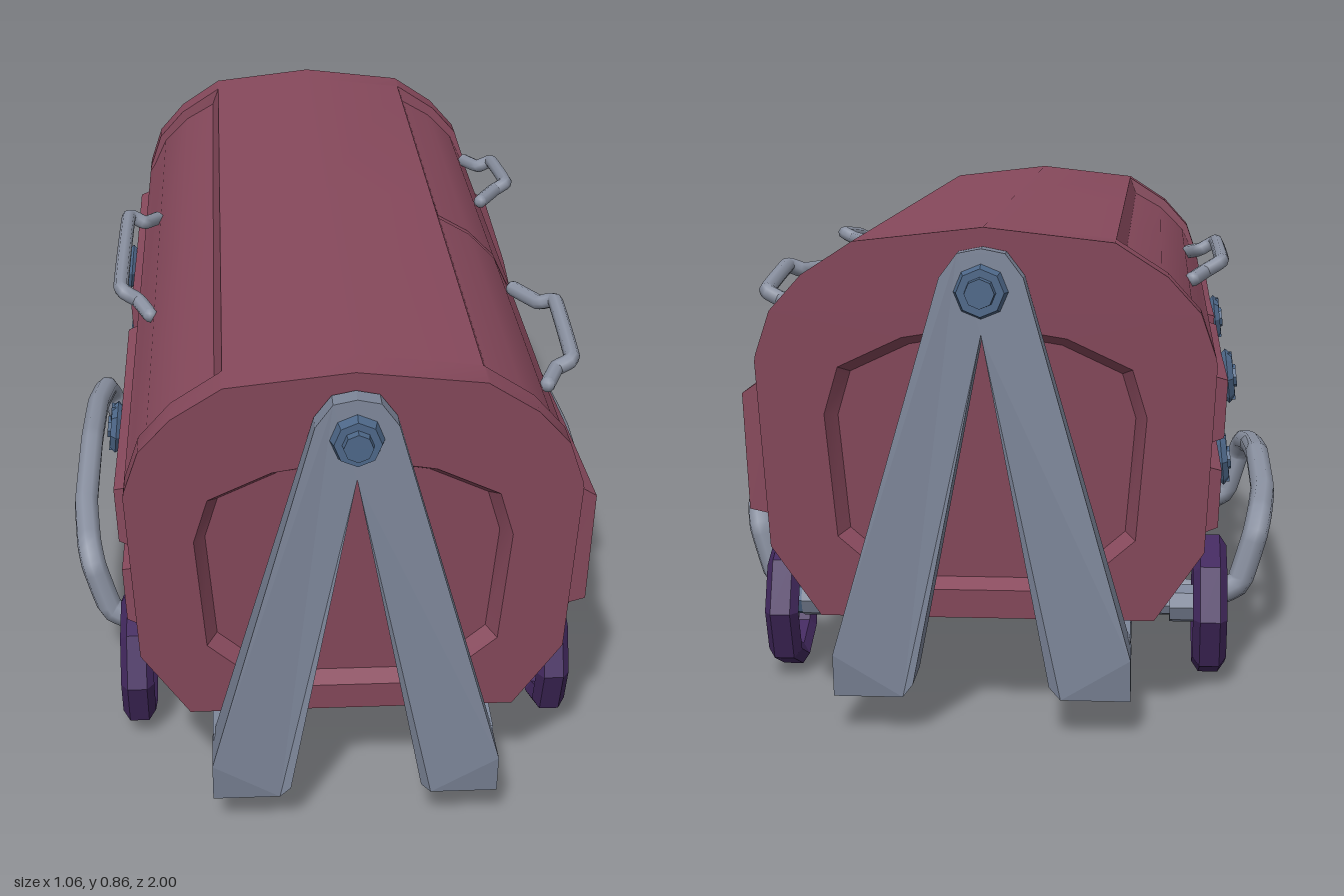
import * as THREE from 'three';
import { toCreasedNormals } from 'three/addons/utils/BufferGeometryUtils.js';

const paint = (color) => new THREE.MeshStandardMaterial({ color, flatShading: true });
const red = new THREE.MeshStandardMaterial({ color: 0x87495c, side: THREE.DoubleSide });
const steel = paint(0x7c8598);
const pipe = new THREE.MeshStandardMaterial({ color: 0x8c93a3 });
const blue = paint(0x4d6788);
const purple = paint(0x43295f);

// Half of the barrel outline, bottom to top: x, y and how far the lid sinks (dx, dy)
const HALF = [
  [0.29, 0.175, 0, 0], [0.375, 0.3, 0, 0], [0.392, 0.628, 0, 0],
  [0.39, 0.64, -0.009, 0.004], [0.364, 0.716, -0.012, -0.01], [0.308, 0.778, -0.011, -0.017],
  [0.226, 0.831, 0.008, -0.034], [0.22, 0.835, 0, 0],
];
const INSET = [[0.15, 0.226], [0.257, 0.32], [0.275, 0.537], [0.25, 0.62], [0.14, 0.672], [0, 0.695]];

const endZ = (y) => 0.87 + (y - 0.175) * 0.08;
const sideX = (y) => 0.375 + (y - 0.3) * 0.052;

// Closed outline, counter-clockwise, with the lid sunk by tR on the right and tL on the left
function outline(tR = 0, tL = 0) {
  const right = HALF.map(([x, y, dx, dy]) => [x + dx * tR, y + dy * tR]);
  const left = HALF.map(([x, y, dx, dy]) => [-x - dx * tL, y + dy * tL]).reverse();
  return [...right, [0, 0.86], ...left];
}

function insetOutline(s) {
  const half = INSET.map(([x, y]) => [x * s, 0.46 + (y - 0.46) * s]);
  return [...half, ...half.slice(0, -1).reverse().map(([x, y]) => [-x, y])];
}

// Skin between rings of equal point count; z may depend on y
function loft(rings) {
  const pos = [], idx = [], n = rings[0].pts.length;
  rings.forEach(({ pts, z }) => pts.forEach(([x, y]) => pos.push(x, y, z(y))));
  for (let i = 0; i < rings.length - 1; i++) {
    for (let j = 0; j < n; j++) {
      const a = i * n + j, b = i * n + (j + 1) % n;
      idx.push(a, b, b + n, a, b + n, a + n);
    }
  }
  const g = new THREE.BufferGeometry();
  g.setAttribute('position', new THREE.Float32BufferAttribute(pos, 3));
  g.setIndex(idx);
  return toCreasedNormals(g, 0.5);
}

// Move every vertex by a rule and rebuild normals
function warp(g, rule) {
  const p = g.attributes.position, v = new THREE.Vector3();
  for (let i = 0; i < p.count; i++) {
    rule(v.fromBufferAttribute(p, i));
    p.setXYZ(i, v.x, v.y, v.z);
  }
  g.computeVertexNormals();
  return g;
}

const toShape = (pts) => new THREE.Shape(pts.map(([x, y]) => new THREE.Vector2(x, y)));

function add(parent, name, geo, mat, pos = [0, 0, 0]) {
  const m = new THREE.Mesh(geo, mat);
  m.name = name;
  m.position.set(...pos);
  parent.add(m);
  return m;
}

// Cylinder lying along x
const rodX = (r, len, sides = 8) => new THREE.CylinderGeometry(r, r, len, sides).rotateZ(Math.PI / 2);

// Bent pipe with rounded ends
function bentPipe(parent, name, pts, r) {
  const group = new THREE.Group();
  group.name = name;
  const v = pts.map((p) => new THREE.Vector3(...p));
  const curve = new THREE.CatmullRomCurve3(v, false, 'catmullrom', 0.15);
  add(group, name + 'Pipe', new THREE.TubeGeometry(curve, pts.length * 8, r, 8), pipe);
  for (const p of [pts[0], pts[pts.length - 1]]) add(group, name + 'End', new THREE.SphereGeometry(r, 8, 6), pipe, p);
  parent.add(group);
}

// Raised side panel whose rim slopes in by bevel; out(z) gives the face's x
function sidePanel(z0, z1, y0, y1, bevelTop, bevel, out) {
  const g = new THREE.BoxGeometry(1, 1, 1, 1, 1, 2).toNonIndexed();
  return warp(g, (v) => {
    const face = v.x > 0, b = face ? bevel : 0;
    const mid = Math.abs(v.z) < 0.1;
    v.z = THREE.MathUtils.lerp(z0 + b, z1 - b, v.z + 0.5);
    v.y = v.y > 0 ? y1 - (face ? bevelTop + (mid ? bevelTop * 0.5 : 0) : 0) : y0 + b;
    v.x = face ? out(v.z, v.y) : sideX(v.y) - 0.02;
  });
}

function buildBody(parent) {
  const at = (c) => () => c;
  const floor = (s) => (y) => s * (endZ(y));
  add(parent, 'barrel', loft([
    { pts: outline(), z: floor(-1) }, { pts: outline(), z: at(-0.85) },
    { pts: outline(1, 1), z: at(-0.849) }, { pts: outline(1, 1), z: at(-0.009) },
    { pts: outline(1.9, 1), z: at(-0.008) }, { pts: outline(1.9, 1), z: at(0.008) },
    { pts: outline(1, 1), z: at(0.009) }, { pts: outline(1, 1), z: at(0.849) },
    { pts: outline(), z: at(0.85) }, { pts: outline(), z: floor(1) },
  ]), red);
  // End walls with a sunken, sloped-edge panel
  for (const turn of [0, Math.PI]) {
    const end = new THREE.Group();
    end.name = turn ? 'backWall' : 'frontWall';
    end.rotation.y = turn;
    const sink = (d) => (v) => { v.z = endZ(v.y) - d; };
    const rim = toShape(outline());
    rim.holes.push(toShape(insetOutline(1)));
    add(end, 'wallRim', warp(new THREE.ShapeGeometry(rim), sink(0)), red);
    add(end, 'wallPanel', warp(new THREE.ShapeGeometry(toShape(insetOutline(0.93))), sink(0.03)), red);
    add(end, 'wallStep', loft([
      { pts: insetOutline(0.93), z: (y) => endZ(y) - 0.03 }, { pts: insetOutline(1), z: endZ },
    ]), red);
    parent.add(end);
  }
}

function buildSides(parent) {
  // Two bulging doors on one side
  for (const s of [1, -1]) {
    const out = (z, y) => Math.min(0.437, 0.408 + Math.abs(z) * 0.07) - (y < 0.4 ? 0.01 : 0);
    const [a, b] = s > 0 ? [0.05, 0.81] : [-0.81, -0.05];
    add(parent, 'door', sidePanel(a, b, 0.335, 0.6, 0.045, 0.012, out), red);
    // Handle rising towards the middle
    const c = s > 0 ? 0.43 : -0.49;
    bentPipe(parent, 'doorHandle', [
      [0.37, 0.695, c + s * 0.195], [0.395, 0.7, c + s * 0.135], [0.425, 0.715, c + s * 0.125],
      [0.428, 0.738, c - s * 0.1], [0.4, 0.727, c - s * 0.12], [0.36, 0.727, c - s * 0.195],
    ], 0.015);
  }
  // Four drawers with round pulls on the other side
  for (const s of [1, -1]) {
    for (const [y0, y1] of [[0.31, 0.44], [0.47, 0.6]]) {
      const g = sidePanel(-0.375, 0.375, y0, y1, 0.014, 0.014, (z, y) => sideX(y) + 0.024);
      const drawer = add(parent, 'drawer', g, red, [0, 0, s * 0.43]);
      drawer.geometry.rotateY(Math.PI);
      const pull = new THREE.Group();
      pull.name = 'drawerPull';
      const y = (y0 + y1) / 2;
      pull.position.set(-sideX(y) - 0.03, y, s * 0.43);
      pull.rotation.z = -0.1;
      add(pull, 'pullStem', rodX(0.022, 0.05), blue);
      add(pull, 'pullRing', new THREE.TorusGeometry(0.042, 0.011, 4, 8).rotateY(Math.PI / 2), blue, [-0.008, 0, 0]);
      add(pull, 'pullBar', new THREE.BoxGeometry(0.016, 0.09, 0.022), blue, [-0.012, 0, 0]);
      parent.add(pull);
    }
  }
  bentPipe(parent, 'lidHandle', [
    [-0.36, 0.705, -0.28], [-0.385, 0.715, -0.225], [-0.418, 0.735, -0.21],
    [-0.418, 0.735, 0.21], [-0.385, 0.715, 0.225], [-0.36, 0.705, 0.28],
  ], 0.015);
}

function buildStand(parent) {
  // A-shaped end supports leaning outwards at the foot
  const half = [[0.115, 0.092], [0.134, 0.065], [0.252, 0.065], [0.252, 0.14], [0.07, 0.78], [0.04, 0.82]];
  const legs = toShape([[0, 0.685], ...half, [0, 0.828], ...half.map(([x, y]) => [-x, y]).reverse()]);
  for (const turn of [0, Math.PI]) {
    const end = new THREE.Group();
    end.name = turn ? 'backSupport' : 'frontSupport';
    end.rotation.y = turn;
    const g = new THREE.ExtrudeGeometry(legs, { depth: 1, bevelEnabled: false });
    add(end, 'supportLegs', warp(g, (v) => {
      const t = (v.y - 0.065) / 0.76;
      v.z = v.z > 0.5 ? 0.995 - 0.032 * t - (v.y < 0.07 ? 0.015 : 0) : 0.895 + 0.03 * t;
    }), steel);
    add(end, 'pivotWasher', new THREE.CylinderGeometry(0.04, 0.046, 0.02, 8).rotateX(Math.PI / 2), blue, [0, 0.757, 0.975]);
    add(end, 'pivotBolt', new THREE.CylinderGeometry(0.025, 0.028, 0.03, 8).rotateX(Math.PI / 2), blue, [0, 0.757, 0.985]);
    parent.add(end);
  }
  // Arched base rails
  const rail = new THREE.Shape();
  rail.moveTo(-0.96, 0.067);
  rail.quadraticCurveTo(0, 0.235, 0.96, 0.067);
  rail.lineTo(0.92, 0.16);
  rail.quadraticCurveTo(0, 0.235, -0.92, 0.16);
  const railGeo = new THREE.ExtrudeGeometry(rail, { depth: 0.115, bevelEnabled: false, curveSegments: 8 }).rotateY(-Math.PI / 2);
  for (const x of [0.25, -0.135]) add(parent, 'baseRail', railGeo, steel, [x, 0, 0]);
}

function buildRunningGear(parent) {
  const profile = [[0.092, -0.02], [0.112, -0.031], [0.132, -0.018], [0.132, 0.018], [0.112, 0.031], [0.092, 0.02], [0.092, -0.02]];
  const tyre = new THREE.LatheGeometry(profile.map(([r, y]) => new THREE.Vector2(r, y)), 8).rotateZ(-Math.PI / 2);
  for (const s of [1, -1]) {
    for (const z of [0.595, -0.595]) {
      const wheel = new THREE.Group();
      wheel.name = 'wheel';
      wheel.position.set(s * 0.392, 0.132, z);
      add(wheel, 'tyre', tyre, purple);
      add(wheel, 'spoke', new THREE.BoxGeometry(0.026, 0.2, 0.045), steel).rotation.x = -Math.sign(z) * 0.75;
      add(wheel, 'hub', rodX(0.034, 0.05), blue);
      add(wheel, 'hubCollar', rodX(0.036, 0.05), steel, [-s * 0.048, 0, 0]);
      add(wheel, 'axle', rodX(0.023, 0.2), steel, [-s * 0.11, 0, 0]);
      parent.add(wheel);
    }
    // Push rail sweeping out and up
    const leg = [[0.2, 0.125, 0.415], [0.4, 0.1, 0.415], [0.455, 0.125, 0.415], [0.485, 0.22, 0.41], [0.495, 0.255, 0.375], [0.507, 0.275, 0.24]];
    const mirrored = leg.map(([x, y, z]) => [x, y, -z]).reverse();
    bentPipe(parent, 'pushRail', [...leg, [0.507, 0.3, 0], ...mirrored].map(([x, y, z]) => [s * x, y, z]), 0.025);
  }
}

export function createModel() {
  const model = new THREE.Group();
  model.name = 'wheeledBarrelCabinet';
  buildBody(model);
  buildSides(model);
  buildStand(model);
  buildRunningGear(model);
  return model;
}
